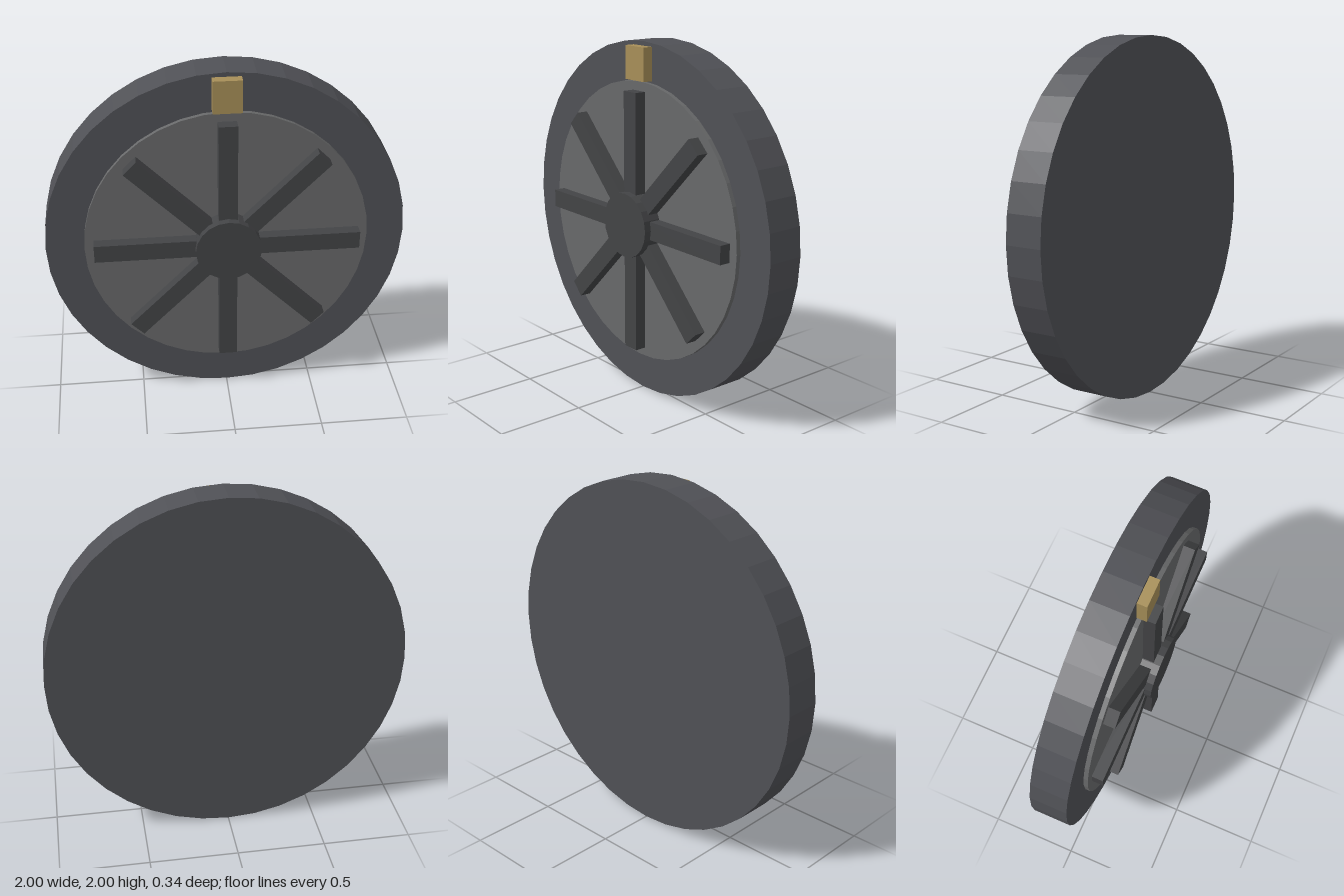
import * as THREE from 'three';

const mat = (color) => new THREE.MeshStandardMaterial({ color, flatShading: true });

// Disc facing +z, spanning z0..z1
function disc(name, radius, z0, z1, sides, material) {
  const geo = new THREE.CylinderGeometry(radius, radius, z1 - z0, sides);
  geo.rotateX(Math.PI / 2);
  const mesh = new THREE.Mesh(geo, material);
  mesh.name = name;
  mesh.position.z = (z0 + z1) / 2;
  return mesh;
}

export function createModel() {
  const model = new THREE.Group();
  model.name = 'spokedWheel';
  const wheel = new THREE.Group();
  wheel.name = 'wheel';
  wheel.position.y = 1;
  model.add(wheel);

  const rimMat = mat(0x505156);
  const plateMat = mat(0x68696a);
  const spokeMat = mat(0x434446);
  const brassMat = mat(0xa78f58);

  // Solid rim body, raised face plate and centre hub
  wheel.add(disc('rim', 1, -0.17, 0.04, 40, rimMat));
  wheel.add(disc('facePlate', 0.787, 0, 0.065, 40, plateMat));
  wheel.add(disc('hub', 0.182, 0.05, 0.17, 20, spokeMat));

  // Eight spokes radiating from the hub
  const spokeGeo = new THREE.BoxGeometry(0.102, 0.635, 0.08);
  spokeGeo.translate(0, 0.4175, 0.09);
  for (let i = 0; i < 8; i++) {
    const spoke = new THREE.Mesh(spokeGeo, spokeMat);
    spoke.name = `spoke${i + 1}`;
    spoke.rotation.z = (i * Math.PI) / 4;
    wheel.add(spoke);
  }

  // Brass marker block at the top of the rim
  const marker = new THREE.Mesh(new THREE.BoxGeometry(0.156, 0.182, 0.105), brassMat);
  marker.name = 'topMarker';
  marker.position.set(0, 0.884, 0.0425);
  wheel.add(marker);

  return model;
}
